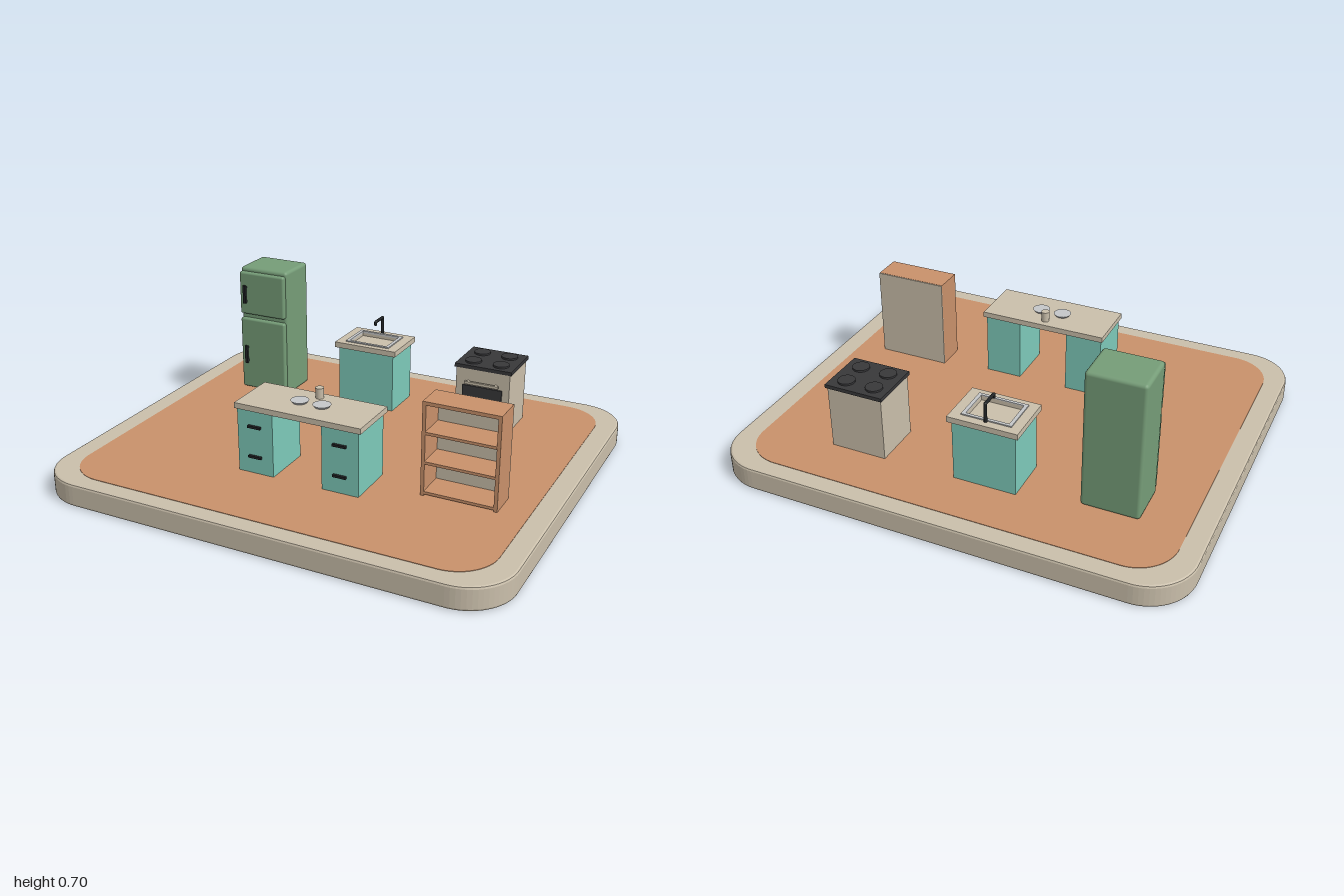
import * as THREE from 'three';
import { RoundedBoxGeometry } from 'three/addons/geometries/RoundedBoxGeometry.js';

const mat = (name, color) => Object.assign(new THREE.MeshStandardMaterial({ color }), { name });

export function createModel() {
  const beige = mat('beige', 0xcabfab);
  const wood = mat('terracotta wood', 0xc9916b);
  const teal = mat('teal', 0x7ecaba);
  const green = mat('fridge green', 0x769d78);
  const dark = mat('charcoal', 0x38383a);
  const black = mat('black metal', 0x1e2123);
  const grey = mat('light grey', 0xc5c7c9);

  const model = new THREE.Group();
  model.name = 'kitchen';
  const group = (name) => {
    const g = new THREE.Group();
    g.name = name;
    model.add(g);
    return g;
  };
  const add = (parent, name, geometry, material, x = 0, y = 0, z = 0) => {
    const m = new THREE.Mesh(geometry, material);
    m.name = name;
    m.position.set(x, y, z);
    parent.add(m);
    return m;
  };
  // Box given by its extents on each axis; a radius rounds the edges
  const box = (parent, name, material, [x0, x1], [y0, y1], [z0, z1], radius = 0) => {
    const size = [x1 - x0, y1 - y0, z1 - z0];
    const geo = radius ? new RoundedBoxGeometry(...size, 2, radius) : new THREE.BoxGeometry(...size);
    return add(parent, name, geo, material, (x0 + x1) / 2, (y0 + y1) / 2, (z0 + z1) / 2);
  };
  const disc = (parent, name, material, rTop, rBottom, h, x, y, z) =>
    add(parent, name, new THREE.CylinderGeometry(rTop, rBottom, h, 24), material, x, y + h / 2, z);

  // Rounded slab lying flat
  const slab = (name, material, hx, hz, r, y, h, bevel) => {
    const s = new THREE.Shape();
    const x = hx - bevel, z = hz - bevel;
    s.absarc(x - r, z - r, r, 0, Math.PI / 2);
    s.absarc(r - x, z - r, r, Math.PI / 2, Math.PI);
    s.absarc(r - x, r - z, r, Math.PI, Math.PI * 1.5);
    s.absarc(x - r, r - z, r, Math.PI * 1.5, Math.PI * 2);
    const geo = new THREE.ExtrudeGeometry(s, {
      depth: h - 2 * bevel, curveSegments: 8, bevelEnabled: bevel > 0,
      bevelSize: bevel, bevelThickness: bevel, bevelSegments: 2,
    });
    geo.rotateX(-Math.PI / 2);
    add(model, name, geo, material, 0, y + bevel, 0);
  };
  slab('base', beige, 1, 0.86, 0.19, 0, 0.099, 0.01);
  slab('floor', wood, 0.91, 0.785, 0.17, 0.097, 0.004, 0);

  // Flat rectangular frame with a rectangular hole
  const frame = (parent, name, material, [x0, x1], [z0, z1], [a0, a1], [b0, b1], y, h) => {
    const rect = (C, l, r, b, t) => {
      const p = new C();
      p.moveTo(l, b); p.lineTo(r, b); p.lineTo(r, t); p.lineTo(l, t); p.closePath();
      return p;
    };
    const s = rect(THREE.Shape, x0, x1, -z1, -z0);
    s.holes.push(rect(THREE.Path, a0, a1, -b1, -b0));
    const geo = new THREE.ExtrudeGeometry(s, { depth: h, bevelEnabled: false });
    geo.rotateX(-Math.PI / 2);
    add(parent, name, geo, material, 0, y, 0);
  };

  // Fridge
  const fridge = group('fridge');
  box(fridge, 'fridgeBody', green, [-0.725, -0.482], [0.1, 0.698], [-0.525, -0.328], 0.015);
  box(fridge, 'lowerDoor', green, [-0.72, -0.487], [0.112, 0.457], [-0.335, -0.306], 0.01);
  box(fridge, 'upperDoor', green, [-0.72, -0.487], [0.478, 0.68], [-0.335, -0.306], 0.01);
  for (const y of [0.24, 0.535]) {
    box(fridge, 'fridgeHandle', black, [-0.692, -0.679], [y, y + 0.085], [-0.298, -0.287]);
    for (const dy of [0.005, 0.07])
      box(fridge, 'handleMount', black, [-0.69, -0.681], [y + dy, y + dy + 0.01], [-0.31, -0.294]);
  }

  // Sink unit with recessed basin
  const sink = group('sink');
  box(sink, 'sinkCabinet', teal, [-0.235, 0.035], [0.1, 0.372], [-0.572, -0.372]);
  const holeX = [-0.194, -0.01], holeZ = [-0.537, -0.4];
  frame(sink, 'sinkCounter', beige, [-0.25, 0.05], [-0.585, -0.36], holeX, holeZ, 0.37, 0.025);
  frame(sink, 'sinkRim', grey, [-0.209, 0.005], [-0.55, -0.387], holeX, holeZ, 0.39, 0.01);
  box(sink, 'basinFloor', beige, holeX, [0.371, 0.377], holeZ);
  const spout = new THREE.CurvePath();
  const bends = [[0.393, -0.555], [0.476, -0.555], [0.476, -0.481], [0.462, -0.481]]
    .map(([y, z]) => new THREE.Vector3(-0.103, y, z));
  for (let i = 0; i < 3; i++) spout.add(new THREE.LineCurve3(bends[i], bends[i + 1]));
  for (const c of spout.curves)
    add(sink, 'faucetPipe', new THREE.TubeGeometry(c, 1, 0.007, 10), black);
  for (const p of bends.slice(1, 3))
    add(sink, 'faucetJoint', new THREE.SphereGeometry(0.007, 10, 8), black, p.x, p.y, p.z);
  disc(sink, 'spoutTip', black, 0.007, 0.007, 0.004, -0.103, 0.46, -0.481);

  // Stove
  const stove = group('stove');
  box(stove, 'stoveBody', beige, [0.345, 0.59], [0.1, 0.382], [-0.577, -0.363]);
  box(stove, 'stoveTop', dark, [0.338, 0.597], [0.38, 0.396], [-0.585, -0.358]);
  box(stove, 'ovenWindow', dark, [0.377, 0.558], [0.178, 0.303], [-0.364, -0.356]);
  box(stove, 'ovenHandle', beige, [0.39, 0.545], [0.314, 0.326], [-0.353, -0.342]);
  for (const x of [0.4, 0.525])
    box(stove, 'ovenHandleMount', beige, [x, x + 0.01], [0.315, 0.325], [-0.364, -0.35]);
  for (const x of [0.403, 0.53])
    for (const z of [-0.527, -0.415]) disc(stove, 'burner', dark, 0.036, 0.036, 0.009, x, 0.395, z);

  // Island with two drawer cabinets
  const island = group('island');
  box(island, 'islandCounter', beige, [-0.283, 0.28], [0.376, 0.4], [0.212, 0.452]);
  for (const [x0, x1] of [[-0.274, -0.113], [0.107, 0.268]]) {
    box(island, 'drawerCabinet', teal, [x0, x1], [0.1, 0.377], [0.222, 0.444]);
    const c = (x0 + x1) / 2;
    for (const y of [0.176, 0.308])
      box(island, 'drawerHandle', black, [c - 0.029, c + 0.029], [y - 0.005, y + 0.005], [0.442, 0.456]);
  }
  for (const x of [-0.05, 0.05]) disc(island, 'plate', grey, 0.038, 0.03, 0.01, x, 0.4, 0.33);
  disc(island, 'cup', beige, 0.018, 0.017, 0.045, 0, 0.4, 0.255);

  // Open bookcase
  const shelf = group('shelf');
  for (const x of [0.473, 0.776])
    box(shelf, 'shelfSide', wood, [x, x + 0.015], [0.1, 0.485], [0.189, 0.315]);
  box(shelf, 'shelfTop', wood, [0.473, 0.791], [0.485, 0.5], [0.189, 0.315]);
  for (const y of [0.109, 0.238, 0.363])
    box(shelf, 'shelfBoard', wood, [0.488, 0.776], [y, y + 0.012], [0.189, 0.317]);
  box(shelf, 'shelfBack', beige, [0.473, 0.791], [0.1, 0.499], [0.184, 0.19]);

  return model;
}
